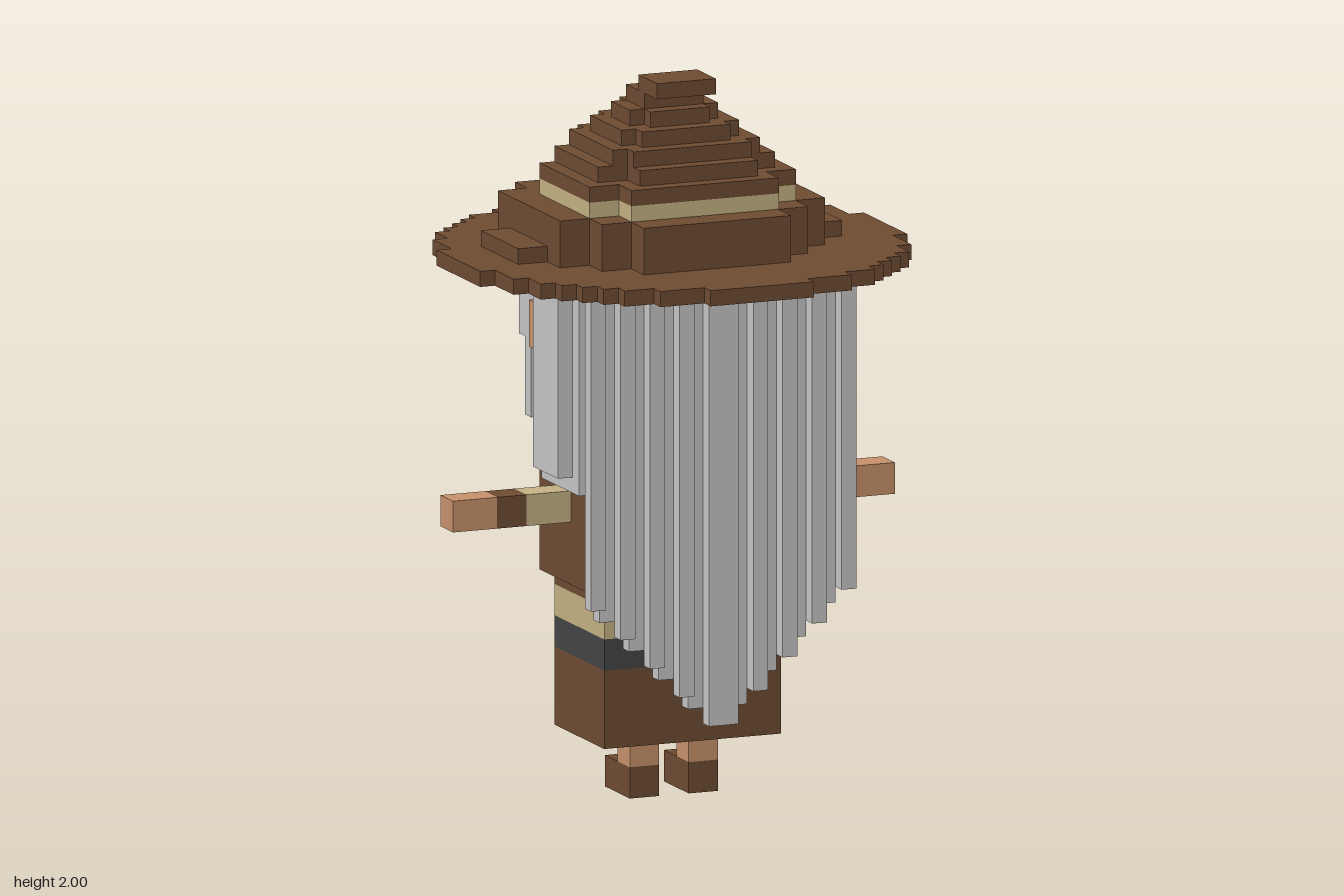
import * as THREE from 'three';

const U = 2 / 46; // one block

const mat = (name, color) => {
  const m = new THREE.MeshStandardMaterial({ color });
  m.name = name;
  return m;
};

export function createModel() {
  const brown = mat('brown cloth', 0x704d33);
  const skin = mat('skin', 0xc9936c);
  const beige = mat('beige cloth', 0xc7b486);
  const grey = mat('grey hair', 0xc8c8c8);
  const dark = mat('dark leather', 0x454545);
  const gold = mat('gold', 0xc8a80c);

  const model = new THREE.Group();
  model.name = 'hatted figure';
  const part = (name) => {
    const g = new THREE.Group();
    g.name = name;
    model.add(g);
    return g;
  };

  // Box from its limits in blocks
  const box = (parent, name, m, x0, x1, y0, y1, z0, z1) => {
    const geo = new THREE.BoxGeometry((x1 - x0) * U, (y1 - y0) * U, (z1 - z0) * U);
    const mesh = new THREE.Mesh(geo, m);
    mesh.name = name;
    mesh.position.set((x0 + x1) / 2 * U, (y0 + y1) / 2 * U, (z0 + z1) / 2 * U);
    parent.add(mesh);
  };
  // Same box on both sides of x = 0
  const pair = (parent, name, m, x0, x1, ...r) => {
    box(parent, name + 'Left', m, x0, x1, ...r);
    box(parent, name + 'Right', m, -x1, -x0, ...r);
  };

  // Legs and shoes
  const legs = part('legs');
  pair(legs, 'shoe', brown, 1, 3, 0, 2, -2.5, 1.5);
  pair(legs, 'leg', skin, 1, 3, 2, 5, -0.5, 1.5);

  // Robe with a hollow hem, belt and sash
  const robe = part('robe');
  pair(robe, 'hemSide', brown, 5, 6, 4, 5, -3.5, 4.5);
  box(robe, 'hemFace', brown, -5, 5, 4, 5, -3.5, -2.5);
  box(robe, 'hemRear', brown, -5, 5, 4, 5, 3.5, 4.5);
  box(robe, 'skirt', brown, -6, 6, 5, 9, -3.5, 4.5);
  box(robe, 'belt', dark, -6, 6, 9, 11, -3.5, 4.5);
  box(robe, 'buckle', gold, -2, 2, 9, 11, -3.6, -3.5);
  box(robe, 'sash', beige, -6, 6, 11, 13, -3.5, 4.5);

  // Shirt and open jacket
  const jacket = part('jacket');
  box(jacket, 'shirt', beige, -4, 4, 13, 22, -3.5, 3.5);
  box(jacket, 'shirtChest', beige, -4, 4, 16, 20, -4.5, -3.5);
  box(jacket, 'jacketRear', brown, -4, 4, 13, 22, 3.5, 4.5);
  pair(jacket, 'jacketHem', brown, 4, 6, 13, 14, -3.5, 4.5);
  pair(jacket, 'jacketSide', brown, 4, 7, 14, 22, -3.5, 4.5);
  pair(jacket, 'lapel', brown, 4, 5, 16, 20, -4.5, -3.5);

  // Arms held out sideways
  const arms = part('arms');
  pair(arms, 'sleeve', beige, 7, 10, 18, 20, -0.5, 1.5);
  pair(arms, 'cuff', brown, 10, 12, 18, 20, -0.5, 1.5);
  pair(arms, 'hand', skin, 12, 15, 18, 20, -0.5, 1.5);

  // Head and face
  const head = part('head');
  box(head, 'neck', skin, -5, 5, 22, 23, -2.5, 4.5);
  box(head, 'skull', skin, -7, 7, 23, 34, -4.5, 4.5);
  box(head, 'nose', skin, -2, 2, 28, 30, -5.5, -4.5);
  pair(head, 'ear', skin, 7, 9, 29, 32, -0.5, 1.5);
  box(head, 'mouth', dark, -3, 3, 25, 26, -4.6, -4.5);
  box(head, 'teeth', grey, -3, 3, 26, 27, -4.6, -4.5);
  pair(head, 'eye', dark, 3, 5, 31, 32, -4.6, -4.5);
  pair(head, 'browMiddle', grey, 3, 5, 32, 33, -5.5, -4.5);
  pair(head, 'browInner', grey, 2, 3, 31, 32, -5.5, -4.5);
  pair(head, 'browOuter', grey, 5, 6, 31, 32, -5.5, -4.5);

  // Hair: side locks
  const hair = part('hair');
  box(hair, 'hairFill', grey, -7, 7, 22, 34, 4.5, 7.5);
  pair(hair, 'sideTop', grey, 7, 8, 29, 34, -4.5, 0.5);
  pair(hair, 'cheekLock', grey, 7, 8, 24, 29, -3.5, -2.5);
  pair(hair, 'earLock', grey, 7, 8, 22, 34, 0.5, 1.5);
  pair(hair, 'sideLock', grey, 7, 9, 21, 34, 1.5, 7.5);
  pair(hair, 'outerLock', grey, 9, 10, 22, 34, 2.5, 6.5);
  // Hair: long strands, alternately set forward and back, ending in a point
  for (let i = 0; i < 9; i++) {
    const z = i % 2 ? 7.5 : 8.5;
    pair(hair, 'strand' + i, grey, i, i + 1, 6 + i, 34, z, z + 1);
  }

  // Hat brim: half widths of the rows, from the middle outward
  const hat = part('hat');
  const half = [14.5, 14.5, 14.5, 14.5, 13.5, 13.5, 13.5, 12.5, 12.5, 11.5, 10.5, 9.5, 8.5, 6.5, 3.5];
  for (let z = -14; z <= 14; z++) {
    const w = half[Math.abs(z)];
    box(hat, 'brimRow', brown, 0.5 - w, 0.5 + w, 34, 35, z - 0.5, z + 0.5);
  }

  // Hat base folds
  box(hat, 'fold', brown, -11, 11, 35, 36, -3.5, 2.5);
  box(hat, 'baseWide', brown, -9, 9, 35, 38, -5.5, 4.5);
  box(hat, 'baseRear', brown, -7, 7, 35, 37.99, -7.5, 6.5);
  box(hat, 'baseDeep', brown, -5, 5, 35, 37.98, 6.5, 8.5);
  box(hat, 'foldRear', brown, -7, 7, 35, 37, -8.5, -7.5);

  // Stepped crown: y, half width, z range; every step has notched corners
  const steps = [
    [38, 7, -5.5, 6.5], [39, 7, -5.5, 6.5], [40, 6, -5.5, 5.5], [41, 5, -4.5, 4.5],
    [42, 4, -3.5, 3.5], [43, 3, -2.5, 2.5],
  ];
  steps.forEach(([y, w, z0, z1], i) => {
    const m = i === 0 ? beige : brown;
    const c = i < 3 ? 2 : 1;
    const name = i === 0 ? 'hatBand' : 'crownStep';
    box(hat, name, m, c - w, w - c, y, y + 1, z0, z1);
    pair(hat, name, m, w - c, w, y, y + 1, z0 + c, z1 - c);
  });
  box(hat, 'crownNeck', brown, -2, 2, 44, 45, -1.5, 1.5);
  box(hat, 'hatTip', brown, -2, 2, 45, 46, 0.5, 3.5);

  return model;
}
